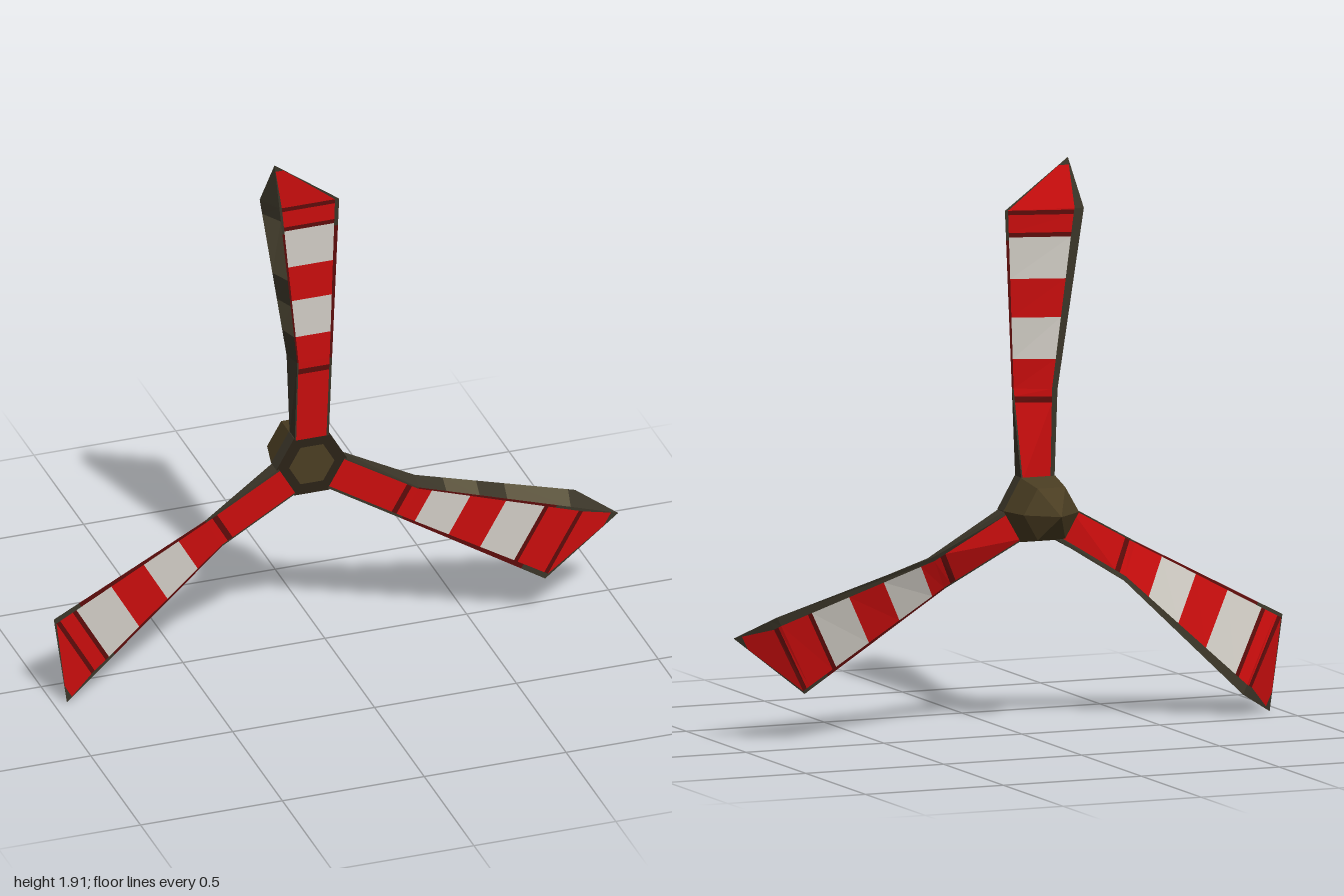
import * as THREE from 'three';

const MATERIALS = {};
for (const [name, color] of Object.entries({
  red: 0xc80d0d, white: 0xd0ccc4, darkRed: 0x5c0c0a, olive: 0x5c543e, darkOlive: 0x3a3528,
  hubBrown: 0x4a3d22, hubDark: 0x2b2217,
})) {
  MATERIALS[name] = new THREE.MeshStandardMaterial({ color });
  MATERIALS[name].name = name;
}

function addMesh(parent, name, geometry, material) {
  const flat = geometry.index ? geometry.toNonIndexed() : geometry;
  flat.computeVertexNormals();
  const mesh = new THREE.Mesh(flat, MATERIALS[material]);
  mesh.name = name;
  parent.add(mesh);
  return mesh;
}

// Point at height y on a piecewise straight edge
function pointAt(edge, y) {
  let i = 0;
  while (i < edge.length - 2 && y > edge[i + 1].y) i++;
  const a = edge[i], b = edge[i + 1];
  const t = THREE.MathUtils.clamp((y - a.y) / (b.y - a.y), 0, 1);
  return new THREE.Vector3().lerpVectors(a, b, t);
}

// Blade pointing up: flat front, ridge at the back left, pointed outer end
function makeBlade({ tip, left, right, shift }) {
  const v = (x, y, z) => new THREE.Vector3(x, y, z);
  const root = 0.1, waist = 0.4;
  const end = v(tip[0], tip[1], 0.13);
  const front = [v(-0.06, root, 0.12), v(-0.055, waist, 0.13), end];
  const rightFront = [v(0.06, root, 0.12), v(0.068, waist, 0.13), v(right[0], right[1], 0.13), end];
  const rightBack = [v(0.06, root, 0.068), ...rightFront.slice(1)];
  const leftBack = [v(-0.06, root, 0.068), v(-0.07, waist, 0.066), v(left[0], left[1], 0.058), end];

  // Outer limit of each coloured band along the blade
  const paint = [
    [0.355, 'red'], [0.375, 'darkRed'], [0.5 + shift, 'red'], [0.64 + shift, 'white'],
    [0.77 + shift, 'red'], [0.91 + shift, 'white'], [0.925 + shift, 'darkRed'],
    [0.985, 'red'], [1.0, 'darkRed'], [tip[1] - 0.025, 'red'], [tip[1], 'darkOlive'],
  ];
  const strip = [[0.5, 'darkOlive'], [0.62, 'olive'], [0.72, 'darkOlive'], [0.95, 'olive'], [tip[1], 'darkOlive']];
  const plain = [[tip[1], 'darkOlive']];
  const edge = [[waist, 'darkOlive'], [0.9, 'darkRed'], [tip[1], 'darkOlive']];

  const triangles = {};
  function panel(a, b, u0, u1, bands) {
    const cuts = [root, waist, left[1], right[1], ...bands.map((band) => band[0])];
    const rows = [...new Set(cuts)].sort((p, q) => p - q);
    const at = (y, u) => pointAt(a, y).lerp(pointAt(b, y), u);
    for (let i = 0; i < rows.length - 1; i++) {
      const y0 = rows[i], y1 = rows[i + 1];
      const color = bands.find((band) => (y0 + y1) / 2 < band[0])[1];
      const a0 = at(y0, u0), b0 = at(y0, u1), b1 = at(y1, u1), a1 = at(y1, u0);
      for (const tri of [[a0, b0, b1], [a0, b1, a1]]) {
        if (new THREE.Triangle(...tri).getArea() > 1e-7) (triangles[color] ??= []).push(...tri);
      }
    }
  }
  // Painted front with a worn margin
  panel(front, rightFront, 0, 0.04, edge);
  panel(front, rightFront, 0.04, 0.93, paint);
  panel(front, rightFront, 0.93, 1, edge);
  // Right side near the root
  panel(rightFront, rightBack, 0, 1, plain);
  // Painted back with a bare margin
  panel(rightBack, leftBack, 0, 0.04, edge);
  panel(rightBack, leftBack, 0.04, 0.88, paint);
  panel(rightBack, leftBack, 0.88, 1, plain);
  // Bare left edge
  panel(leftBack, front, 0, 1, strip);

  const blade = new THREE.Group();
  for (const [color, points] of Object.entries(triangles)) {
    addMesh(blade, `${color}BladeFaces`, new THREE.BufferGeometry().setFromPoints(points), color);
  }
  return blade;
}

export function createModel() {
  const model = new THREE.Group();
  model.name = 'propeller';
  const rotor = new THREE.Group();
  rotor.name = 'rotor';
  rotor.position.set(-0.088, 0.743, 0);
  model.add(rotor);

  // Blades, the upper one slimmer than the lower two
  const slim = { tip: [-0.135, 1.168], left: [-0.162, 1.005], right: [0.093, 1.0] };
  const wide = { tip: [-0.21, 1.122], left: [-0.21, 0.975], right: [0.094, 1.0] };
  const blades = [
    ['upperBlade', { ...slim, shift: 0 }, 0],
    ['lowerRightBlade', { ...wide, shift: 0.01 }, 1],
    ['lowerLeftBlade', { ...wide, shift: -0.05 }, -1],
  ];
  for (const [name, shape, turn] of blades) {
    const blade = makeBlade(shape);
    blade.name = name;
    blade.rotation.z = turn * Math.PI * 2 / 3;
    rotor.add(blade);
  }

  // Six-sided hub with a pointed nose at the back
  const lathe = (points) => new THREE.LatheGeometry(
    points.map(([r, z]) => new THREE.Vector2(r, z)), 6, Math.PI / 2).rotateX(Math.PI / 2);
  addMesh(rotor, 'hubNose', lathe([[0, -0.13], [0.1, -0.045], [0.125, 0.068]]), 'hubBrown');
  addMesh(rotor, 'hubRim', lathe([[0.125, 0.068], [0.125, 0.12]]), 'darkOlive');
  addMesh(rotor, 'hubFrontEdge', new THREE.RingGeometry(0.08, 0.125, 6).translate(0, 0, 0.12), 'hubDark');
  addMesh(rotor, 'hubFrontCentre', new THREE.CircleGeometry(0.08, 6).translate(0, 0, 0.12), 'hubBrown');
  return model;
}
